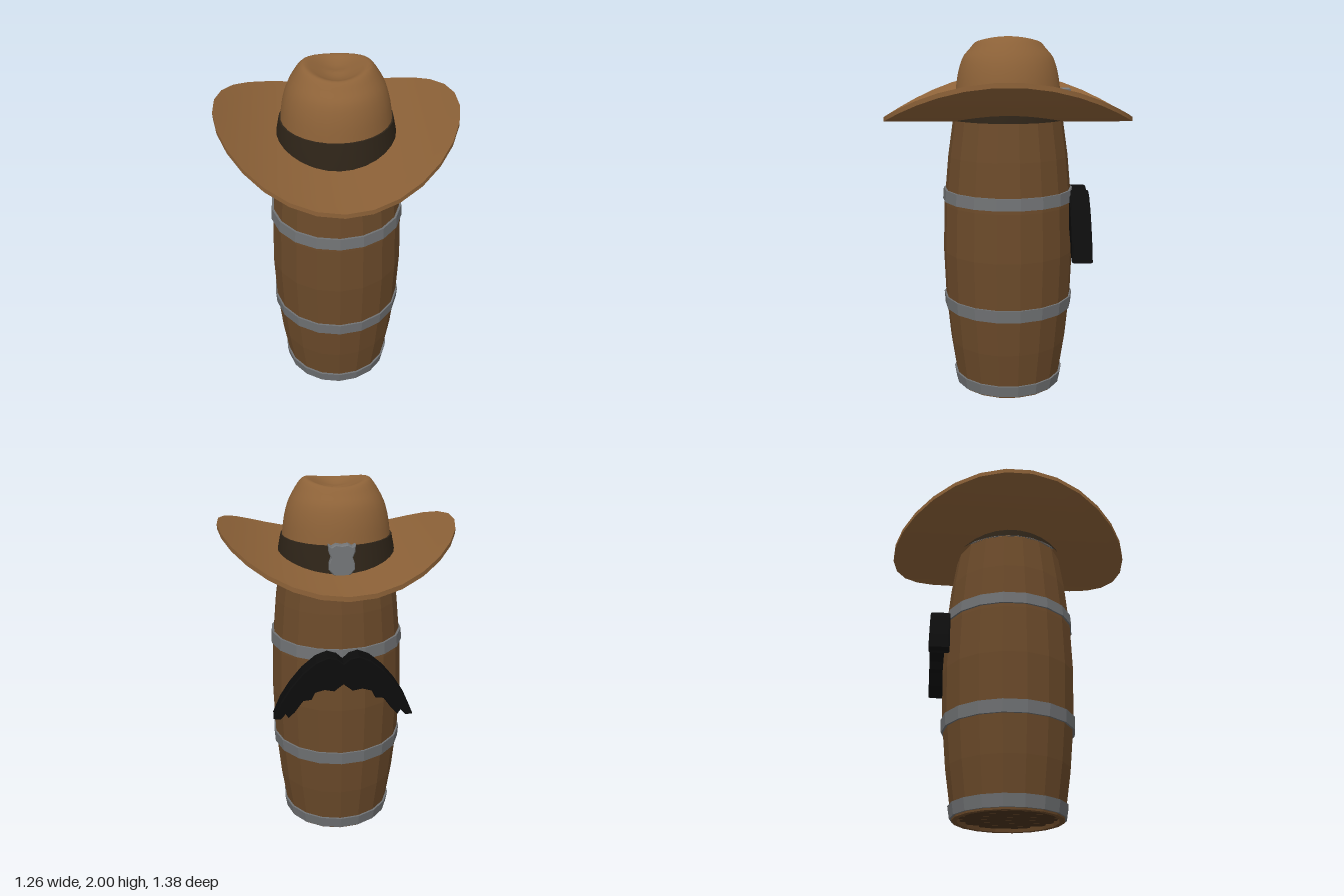
import * as THREE from 'three';
import { toCreasedNormals } from 'three/addons/utils/BufferGeometryUtils.js';

const SIDES = 18;
const mat = (color, flatShading = false) => new THREE.MeshStandardMaterial({ color, flatShading });
const pts = (list) => list.map(([x, y]) => new THREE.Vector2(x, y));

function add(parent, name, geometry, material) {
  const mesh = new THREE.Mesh(geometry, material);
  mesh.name = name;
  parent.add(mesh);
  return mesh;
}

// Apply a rule (vector in, vector changed) to every vertex
function bend(geometry, rule) {
  const p = geometry.attributes.position;
  const v = new THREE.Vector3();
  for (let i = 0; i < p.count; i++) {
    v.fromBufferAttribute(p, i);
    rule(v);
    p.setXYZ(i, v.x, v.y, v.z);
  }
  geometry.computeVertexNormals();
  return geometry;
}

// Barrel radius at a height
const radiusAt = (y) => 0.372 - 0.075 * Math.pow(Math.abs(y - 0.81) / 0.81, 1.9);

function makeBarrel() {
  const barrel = new THREE.Group();
  barrel.name = 'barrel';
  const wood = mat(0x6b4a2a, true);
  const darkWood = mat(0x4a321c, true);
  const iron = mat(0x707274, true);

  // Staves: one narrow bulging strip each, with thickness at the ends
  const profile = [[0.26, 0.04], [0.27, 0.0]];
  for (const y of [0, 0.27, 0.54, 0.81, 1.08, 1.35, 1.6]) profile.push([radiusAt(y), y]);
  profile.push([0.26, 1.6], [0.26, 1.56]);
  const step = (Math.PI * 2) / SIDES;
  for (let i = 0; i < SIDES; i++) {
    add(barrel, 'stave', new THREE.LatheGeometry(pts(profile), 1, i * step, step), wood);
  }

  // Recessed ends, planked underneath
  const end = new THREE.CylinderGeometry(0.275, 0.275, 0.02, SIDES);
  add(barrel, 'bottomEnd', end, darkWood).position.y = 0.035;
  add(barrel, 'topEnd', end, darkWood).position.y = 1.57;
  for (let i = -3; i <= 3; i++) {
    const x = i * 0.073;
    const length = 2 * Math.sqrt(0.26 * 0.26 - x * x);
    add(barrel, 'endPlank', new THREE.BoxGeometry(0.07, 0.01, length), darkWood).position.set(x, 0.022, 0);
  }

  // Iron hoops
  for (const [low, high] of [[0.01, 0.075], [0.475, 0.545], [1.1, 1.165], [1.562, 1.615]]) {
    const a = radiusAt(low), b = radiusAt(high), t = 0.01;
    const hoop = pts([[a - 0.015, low], [a + t, low], [b + t, high], [b - 0.015, high], [a - 0.015, low]]);
    add(barrel, 'hoop', new THREE.LatheGeometry(hoop, SIDES), iron);
  }
  return barrel;
}

function makeHat() {
  const hat = new THREE.Group();
  hat.name = 'hat';
  const felt = mat(0x8d6238);

  // Brim: oval disc with its sides curled up
  const rim = [];
  for (let i = 0; i <= 8; i++) rim.push([0.24 + 0.76 * i / 8, -0.012]);
  for (let i = 8; i >= 0; i--) rim.push([0.24 + 0.76 * i / 8, 0.012]);
  const brim = bend(new THREE.LatheGeometry(pts(rim), 30), (v) => {
    v.x *= 0.633;
    v.z *= 0.69;
    v.y += 1.553 + 0.54 * v.x * v.x;
  });
  add(hat, 'brim', toCreasedNormals(brim, 0.8), felt);

  // Crown: rounded dome, dented in the middle and dipping at front and back
  const curve = new THREE.SplineCurve(pts([
    [0.31, 1.56], [0.292, 1.7], [0.277, 1.8], [0.253, 1.88], [0.215, 1.95],
    [0.185, 1.99], [0.16, 2.0], [0.12, 1.985], [0.06, 1.96], [0, 1.953],
  ]));
  const crownPoints = curve.getPoints(27);
  crownPoints[27].x = 0;
  const crown = bend(new THREE.LatheGeometry(crownPoints, 30), (v) => {
    const r2 = v.x * v.x + v.z * v.z;
    const top = THREE.MathUtils.smoothstep(v.y, 1.88, 1.98);
    if (r2 > 1e-6) v.y -= 0.025 * top * (v.z * v.z / r2) * Math.min(1, Math.sqrt(r2) / 0.12);
  });
  add(hat, 'crown', toCreasedNormals(crown, 1), felt);

  // Dark band around the crown
  const band = pts([[0.325, 1.555], [0.314, 1.63], [0.299, 1.705], [0.285, 1.706]]);
  add(hat, 'hatBand', toCreasedNormals(new THREE.LatheGeometry(band, 30), 0.6), mat(0x2e2418));

  // Shield badge on the band
  const half = [[0, 1.712], [0.03, 1.718], [0.052, 1.705], [0.066, 1.715], [0.062, 1.685],
    [0.05, 1.655], [0.06, 1.625], [0.062, 1.595], [0.04, 1.57], [0, 1.555]];
  const outline = half.concat(half.slice(1, -1).reverse().map(([x, y]) => [-x, y]));
  const badge = new THREE.ExtrudeGeometry(new THREE.Shape(pts(outline)), {
    depth: 0.04, bevelEnabled: true, bevelSize: 0.005, bevelThickness: 0.005, bevelSegments: 1,
  });
  add(hat, 'badge', badge, mat(0x747678, true)).position.z = -0.34;
  return hat;
}

// Drooping moustache with a stepped lower edge
function makeMoustache() {
  const half = [[0, 1.115], [0.035, 1.145], [0.08, 1.155], [0.14, 1.13], [0.21, 1.07], [0.275, 0.99],
    [0.325, 0.91], [0.365, 0.82], [0.335, 0.817], [0.305, 0.85], [0.29, 0.825], [0.262, 0.855],
    [0.215, 0.92], [0.172, 0.925], [0.153, 0.965], [0.1, 0.98], [0.05, 0.97], [0, 1.01]];
  const outline = half.concat(half.slice(1, -1).reverse().map(([x, y]) => [-x, y]));
  const geometry = new THREE.ExtrudeGeometry(new THREE.Shape(pts(outline)), {
    depth: 0.094, bevelEnabled: true, bevelSize: 0.005, bevelThickness: 0.008, bevelSegments: 1,
  });
  geometry.translate(0, 0, -0.442);
  return geometry;
}

export function createModel() {
  const model = new THREE.Group();
  model.name = 'barrelWithHat';
  model.add(makeBarrel(), makeHat());
  add(model, 'moustache', makeMoustache(), mat(0x0c0c0c, true));
  return model;
}
